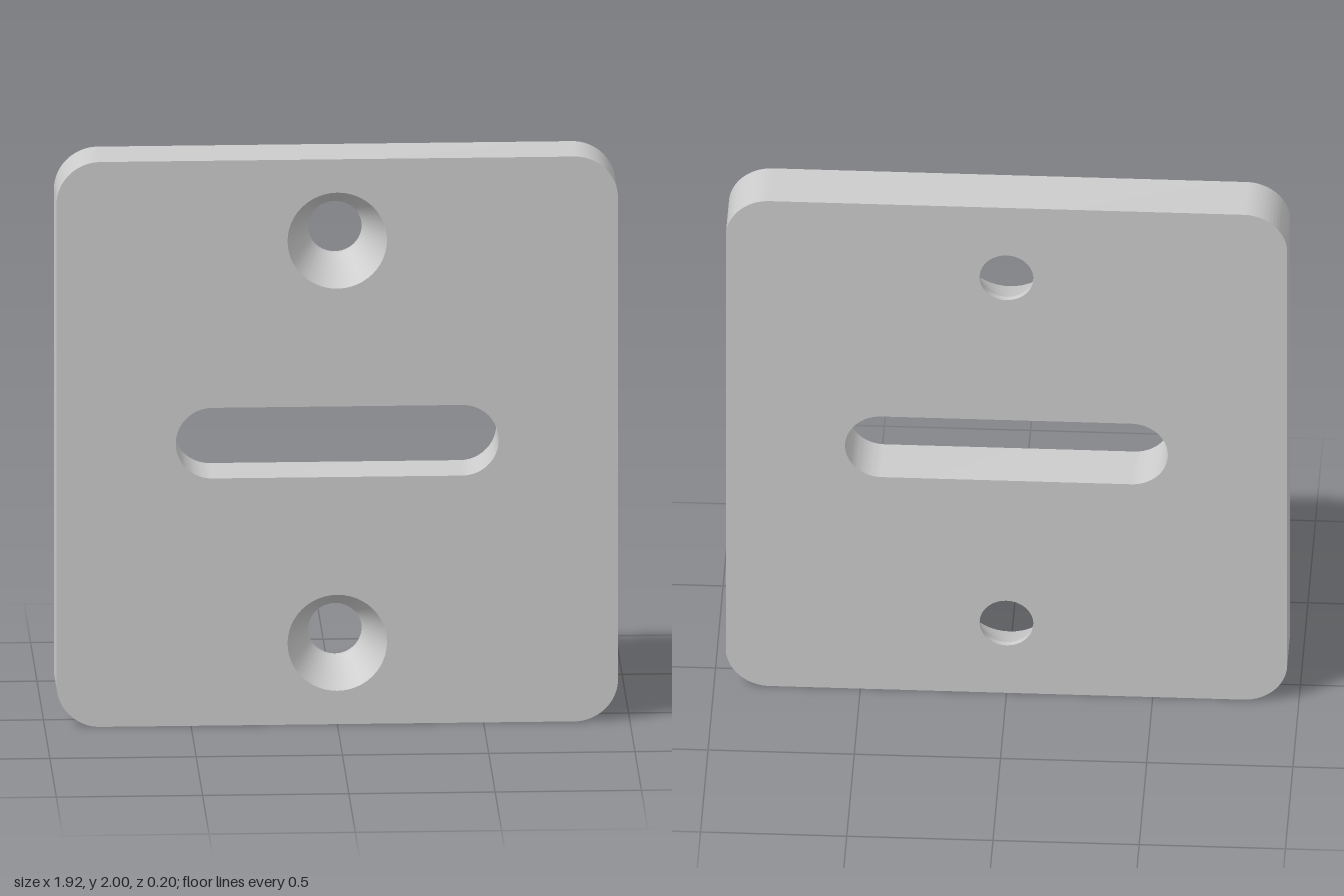
import * as THREE from 'three';
import { toCreasedNormals } from 'three/addons/utils/BufferGeometryUtils.js';

const W = 0.96, H = 2, R = 0.15;          // half width, height, corner radius
const Z = 0.1;                            // half thickness
const SLOT_X = 0.427, SLOT_R = 0.125;     // slot arc centres and radius
const HOLES_Y = [0.288, 1.712];
const HOLE_R = 0.092, SINK_R = 0.17, LIP_Z = -0.08;
const SEG = 24;

function outline() {
  const s = new THREE.Shape(), q = Math.PI / 2;
  [[1, H - R], [-1, H - R], [-1, R], [1, R]].forEach(([side, y], i) =>
    s.absarc(side * (W - R), y, R, i * q, (i + 1) * q, false));
  return s.closePath();
}

function slotPath() {
  const p = new THREE.Path(), q = Math.PI / 2;
  p.absarc(SLOT_X, 1, SLOT_R, -q, q, false);
  p.absarc(-SLOT_X, 1, SLOT_R, q, 3 * q, false);
  return p.closePath();
}

// Flat face with the slot and two round holes
function faceGeometry(holeRadius) {
  const s = outline();
  s.holes.push(slotPath());
  for (const y of HOLES_Y) s.holes.push(new THREE.Path().absarc(0, y, holeRadius, 0, Math.PI * 2, false));
  return new THREE.ShapeGeometry(s, SEG);
}

// Wall through the thickness; a counter-clockwise path faces outward
function wallGeometry(path, inward) {
  const pts = path.getPoints(SEG);
  if (inward) pts.reverse();
  const pos = [];
  pts.forEach((a, i) => {
    const b = pts[(i + 1) % pts.length];
    if (a.distanceTo(b) < 1e-6) return;
    pos.push(a.x, a.y, -Z, b.x, b.y, -Z, b.x, b.y, Z);
    pos.push(a.x, a.y, -Z, b.x, b.y, Z, a.x, a.y, Z);
  });
  const g = new THREE.BufferGeometry();
  g.setAttribute('position', new THREE.Float32BufferAttribute(pos, 3));
  return toCreasedNormals(g, 0.5);
}

// Inward-facing ring of a round hole, from the front to the back
function boreGeometry(r1, z1, r2, z2) {
  return new THREE.LatheGeometry([new THREE.Vector2(r1, z1), new THREE.Vector2(r2, z2)], SEG * 2)
    .rotateX(Math.PI / 2);
}

export function createModel() {
  const group = new THREE.Group();
  group.name = 'mountingPlate';
  const material = new THREE.MeshStandardMaterial({ color: 0xcccccc });
  const add = (name, geometry, y = 0, z = 0) => {
    const mesh = new THREE.Mesh(geometry, material);
    mesh.name = name;
    mesh.position.set(0, y, z);
    group.add(mesh);
    return mesh;
  };

  // Plate faces and edges
  add('frontFace', faceGeometry(SINK_R), 0, Z);
  add('backFace', faceGeometry(HOLE_R).rotateY(Math.PI), 0, -Z);
  add('outerEdge', wallGeometry(outline(), false));
  add('slotWall', wallGeometry(slotPath(), true));

  // Countersunk screw holes
  HOLES_Y.forEach((y, i) => {
    const place = i ? 'upper' : 'lower';
    add(place + 'Countersink', boreGeometry(SINK_R, Z, HOLE_R, LIP_Z), y);
    add(place + 'HoleLip', boreGeometry(HOLE_R, LIP_Z, HOLE_R, -Z), y);
  });
  return group;
}
